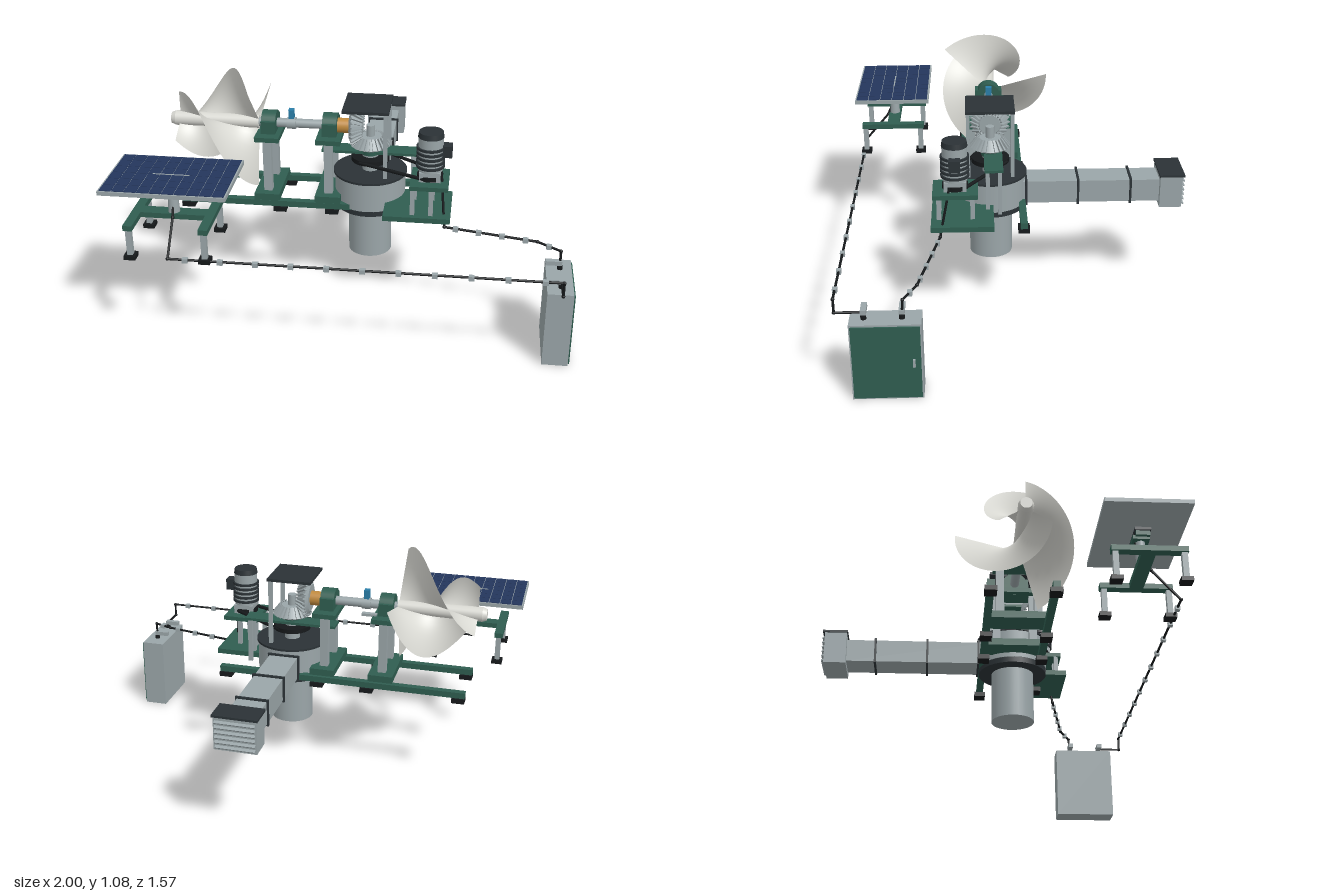
import * as THREE from 'three';
import { ParametricGeometry } from 'three/addons/geometries/ParametricGeometry.js';

const mat = (color) => new THREE.MeshStandardMaterial({ color });
const GREEN = mat(0x2f5d50), DARK = mat(0x2b3236), STEEL = mat(0x9aa5a8), PALE = mat(0xd8d8d2);
const BLUE = mat(0x24365c), ORANGE = mat(0xc08a3e), CYAN = mat(0x2a7ea8), BLACK = mat(0x16191b);
PALE.side = THREE.DoubleSide;

export function createModel() {
  const root = new THREE.Group();
  let parent = root;
  const group = (name) => { parent = new THREE.Group(); parent.name = name; root.add(parent); return parent; };
  const add = (name, geo, m) => { const o = new THREE.Mesh(geo, m); o.name = name; parent.add(o); return o; };
  // box from its limits on each axis
  const box = (name, m, x0, x1, y0, y1, z0, z1) => {
    const o = add(name, new THREE.BoxGeometry(x1 - x0, y1 - y0, z1 - z0), m);
    o.position.set((x0 + x1) / 2, (y0 + y1) / 2, (z0 + z1) / 2);
    return o;
  };
  // round bar between two points, r1 at the start and r2 at the end
  const rod = (name, m, a, b, r1, r2 = r1, n = 32) => {
    const A = new THREE.Vector3(...a), B = new THREE.Vector3(...b), d = B.clone().sub(A);
    const o = add(name, new THREE.CylinderGeometry(r2, r1, d.length(), n), m);
    o.position.copy(A).add(B).multiplyScalar(0.5);
    o.quaternion.setFromUnitVectors(new THREE.Vector3(0, 1, 0), d.normalize());
    return o;
  };
  const upright = (name, m, x, z, y0, y1, r1, r2) => rod(name, m, [x, y0, z], [x, y1, z], r1, r2);
  const AY = 0.82, AZ = 0.115, CX = 0.063;   // rotor axis height and depth, drum centre

  // Spiral rotor: three blades growing towards the shaft
  group('rotor');
  for (let k = 0; k < 3; k++) {
    add('blade', new ParametricGeometry((u, v, p) => {
      const a = THREE.MathUtils.degToRad(45 + 120 * k + 165 * u);
      const r = THREE.MathUtils.lerp(0.02, 0.3 - 0.17 * u, v);
      p.set(-0.45 - 0.37 * u, AY + r * Math.sin(a), AZ + r * Math.cos(a));
    }, 48, 8), PALE);
  }
  rod('hub', PALE, [-0.84, AY, AZ], [-0.45, AY, AZ], 0.034, 0.03);
  rod('noseCap', PALE, [-0.86, AY, AZ], [-0.84, AY, AZ], 0.026, 0.034);
  rod('shaft', STEEL, [-0.45, AY, AZ], [0.0, AY, AZ], 0.021);
  rod('coupling', ORANGE, [-0.088, AY, AZ], [-0.025, AY, AZ], 0.034);
  rod('shaftCollar', STEEL, [-0.32, AY, AZ], [-0.28, AY, AZ], 0.027);
  box('sensor', CYAN, -0.312, -0.288, 0.845, 0.888, 0.1, 0.13);
  box('sensorBracket', STEEL, -0.36, -0.29, 0.782, 0.794, 0.045, 0.07);

  // Bearing stands
  for (const x of [-0.4, -0.12]) {
    group('bearingStand');
    box('bearingHousing', GREEN, x - 0.033, x + 0.033, 0.785, 0.845, 0.05, 0.18);
    rod('bearingCap', GREEN, [x - 0.033, AY, AZ], [x + 0.033, AY, AZ], 0.057);
    box('topPlate', GREEN, x - 0.056, x + 0.056, 0.764, 0.786, 0.0, 0.225);
    box('basePlate', GREEN, x - 0.058, x + 0.058, 0.487, 0.52, -0.03, 0.255);
    for (const z of [0.03, 0.2]) box('leg', STEEL, x - 0.019, x + 0.019, 0.52, 0.764, z - 0.018, z + 0.018);
  }

  // Long rails with feet
  group('baseFrame');
  for (const [z, end] of [[-0.03, 0.38], [0.24, 0.3]]) {
    box('rail', GREEN, -0.8, end, 0.46, 0.488, z - 0.016, z + 0.016);
    for (const x of [-0.77, -0.34, -0.1, end - 0.03]) box('foot', BLACK, x - 0.03, x + 0.03, 0.438, 0.46, z - 0.026, z + 0.026);
  }

  // Drum, outlet pipe and driven vertical shaft
  group('drum');
  upright('pipe', STEEL, CX, AZ, 0.2, 0.46, 0.1);
  upright('lowerFlange', DARK, CX, AZ, 0.44, 0.466, 0.16);
  upright('casing', STEEL, CX, AZ, 0.466, 0.602, 0.163);
  upright('upperFlange', DARK, CX, AZ, 0.602, 0.612, 0.17);
  upright('neck', STEEL, CX, AZ, 0.61, 0.7, 0.037);
  upright('pulley', BLACK, CX, AZ, 0.659, 0.68, 0.088);
  upright('bearing', GREEN, CX, AZ, 0.69, 0.725, 0.042);
  upright('stub', STEEL, CX, AZ, 0.72, 0.83, 0.02);
  box('bridge', GREEN, -0.16, 0.285, 0.694, 0.706, 0.06, 0.145);
  for (const z of [0.075, 0.13]) box('bridgePost', STEEL, 0.252, 0.272, 0.48, 0.694, z - 0.009, z + 0.009);

  // Bevel gear pair
  const gear = (name, r0, r1, h, n) => {
    const g = group(name), slant = Math.hypot(r0 - r1, h);
    add('body', new THREE.CylinderGeometry(r1, r0, h, 48), STEEL);
    rodBack(r0, h);
    for (let i = 0; i < n; i++) {
      const holder = new THREE.Group();
      const t = new THREE.Mesh(new THREE.BoxGeometry(0.018, slant, 0.007), STEEL);
      t.name = 'tooth';
      t.position.x = (r0 + r1) / 2 + 0.003;
      t.rotation.z = Math.atan2(r0 - r1, h);
      holder.rotation.y = (i / n) * Math.PI * 2;
      holder.add(t);
      g.add(holder);
    }
    return g;
  };
  const rodBack = (r, h) => rod('backing', STEEL, [0, -h / 2 - 0.012, 0], [0, -h / 2, 0], r * 0.75, r);
  gear('horizontalGear', 0.085, 0.05, 0.045, 24).position.set(CX, 0.755, AZ);
  const vg = gear('verticalGear', 0.085, 0.048, 0.045, 24);
  vg.position.set(0.003, AY, AZ);
  vg.rotation.z = -Math.PI / 2;

  // Rain cover over the gears
  group('gearCover');
  box('roof', DARK, -0.055, 0.155, 0.923, 0.936, 0.003, 0.227);
  for (const z of [0.014, 0.216]) box('coverPost', STEEL, 0.131, 0.149, 0.61, 0.923, z - 0.008, z + 0.008);

  // Generator on its table, with belt drive
  const MX = 0.347, MZ = 0.275;
  group('generator');
  box('lowerPlate', GREEN, 0.145, 0.445, 0.484, 0.508, 0.105, 0.385);
  box('tablePlate', GREEN, 0.262, 0.432, 0.636, 0.656, 0.175, 0.375);
  for (const x of [0.275, 0.357]) for (const z of [0.2, 0.35]) box('tableLeg', STEEL, x - 0.01, x + 0.01, 0.508, 0.636, z - 0.01, z + 0.01);
  box('mount', STEEL, 0.3, 0.395, 0.656, 0.7, 0.225, 0.325);
  upright('motorBody', STEEL, MX, MZ, 0.7, 0.86, 0.056);
  for (let i = 0; i < 5; i++) upright('coolingFin', DARK, MX, MZ, 0.715 + i * 0.022, 0.726 + i * 0.022, 0.064);
  upright('fanCap', DARK, MX, MZ, 0.858, 0.882, 0.058, 0.054);
  box('terminalBox', DARK, 0.4, 0.442, 0.768, 0.822, 0.25, 0.3);
  upright('motorPulley', BLACK, MX, MZ, 0.66, 0.68, 0.058);
  const dir = new THREE.Vector2(MX - CX, MZ - AZ).normalize();
  for (const s of [-1, 1]) rod('belt', BLACK, [CX - s * dir.y * 0.086, 0.67, AZ + s * dir.x * 0.086], [MX - s * dir.y * 0.056, 0.67, MZ + s * dir.x * 0.056], 0.008, 0.008, 8);

  // Square duct with louvred end box
  group('duct');
  box('ductBody', STEEL, -0.008, 0.128, 0.468, 0.576, -0.68, 0.0);
  for (const z of [-0.05, -0.292, -0.537]) box('ductFlange', DARK, -0.016, 0.136, 0.46, 0.585, z - 0.005, z + 0.005);
  box('endBox', STEEL, -0.037, 0.155, 0.446, 0.6, -0.775, -0.672);
  box('endCap', DARK, -0.043, 0.16, 0.6, 0.61, -0.785, -0.668);
  for (let i = 0; i < 6; i++) box('louvre', STEEL, -0.03, 0.148, 0.46 + i * 0.023, 0.466 + i * 0.023, -0.787, -0.77).rotation.x = -0.5;

  // Solar panel: frame, cells and pedestal
  group('solarPanel');
  box('panelFrame', STEEL, -1, -0.46, 0.746, 0.764, 0.417, 0.785);
  for (let i = 0; i < 10; i++) for (let j = 0; j < 6; j++) {
    const x = -0.994 + i * 0.0528, z = 0.423 + j * 0.0594;
    box('cell', BLUE, x + 0.0015, x + 0.0513, 0.76, 0.767, z + 0.0015, z + 0.0579);
  }
  box('centreStrip', STEEL, -0.815, -0.655, 0.764, 0.7685, 0.598, 0.604);
  const PX = -0.732, PZ = 0.607;
  box('tiltHead', GREEN, PX - 0.034, PX + 0.034, 0.715, 0.735, PZ - 0.036, PZ + 0.036);
  for (const s of [-1, 1]) box('headBracket', GREEN, PX + s * 0.065 - 0.008, PX + s * 0.065 + 0.008, 0.712, 0.747, PZ - 0.03, PZ + 0.03);
  box('headRail', DARK, PX - 0.08, PX + 0.08, 0.733, 0.747, PZ - 0.034, PZ + 0.034);
  upright('column', STEEL, PX, PZ, 0.59, 0.715, 0.026, 0.019);

  // Pedestal frame with four legs
  group('panelStand');
  box('crossBeam', GREEN, -0.91, -0.553, 0.574, 0.598, PZ - 0.03, PZ + 0.03);
  for (const x of [-0.893, -0.57]) {
    box('sideBeam', GREEN, x - 0.02, x + 0.02, 0.574, 0.598, 0.45, 0.766);
    for (const z of [0.468, 0.75]) {
      box('standLeg', STEEL, x - 0.012, x + 0.012, 0.455, 0.574, z - 0.012, z + 0.012);
      box('standFoot', BLACK, x - 0.025, x + 0.025, 0.438, 0.457, z - 0.025, z + 0.025);
    }
  }

  // Control cabinet, door on its +x side
  group('cabinet');
  box('cabinetBody', STEEL, 0.87, 0.982, 0, 0.355, 0.41, 0.703);
  box('door', GREEN, 0.98, 0.988, 0.008, 0.347, 0.416, 0.697);
  box('handle', STEEL, 0.986, 0.998, 0.16, 0.195, 0.439, 0.449);
  for (const z of [0.49, 0.645]) {
    upright('cableGland', BLACK, 0.93, z, 0.354, 0.372, 0.012);
    box('cableTray', STEEL, 0.868, 0.938, 0.376, 0.396, z - 0.012, z + 0.012);
  }

  // Cables with clips along their runs
  const cable = (points, clips) => {
    group('cable');
    for (let i = 1; i < points.length; i++) {
      const a = points[i - 1], b = points[i];
      rod('cableRun', BLACK, a, b, 0.0055, 0.0055, 8);
      for (let k = 0; k < (clips[i - 1] || 0); k++) {
        const p = new THREE.Vector3(...a).lerp(new THREE.Vector3(...b), (k + 0.5) / clips[i - 1]);
        box('clip', STEEL, p.x - 0.012, p.x + 0.012, p.y - 0.012, p.y + 0.008, p.z - 0.01, p.z + 0.01);
      }
    }
    for (const p of points.slice(1, -1)) add('elbow', new THREE.SphereGeometry(0.008, 10, 8), BLACK).position.set(...p);
  };
  cable([[-0.73, 0.73, 0.58], [-0.73, 0.585, 0.645], [-0.73, 0.449, 0.762], [0.93, 0.449, 0.762], [0.93, 0.386, 0.762],
    [0.93, 0.386, 0.645], [0.93, 0.355, 0.645]], [0, 0, 11]);
  cable([[0.4, 0.68, 0.3], [0.42, 0.449, 0.345], [0.83, 0.449, 0.43], [0.93, 0.44, 0.485], [0.93, 0.355, 0.49]], [0, 4, 1]);
  return root;
}
